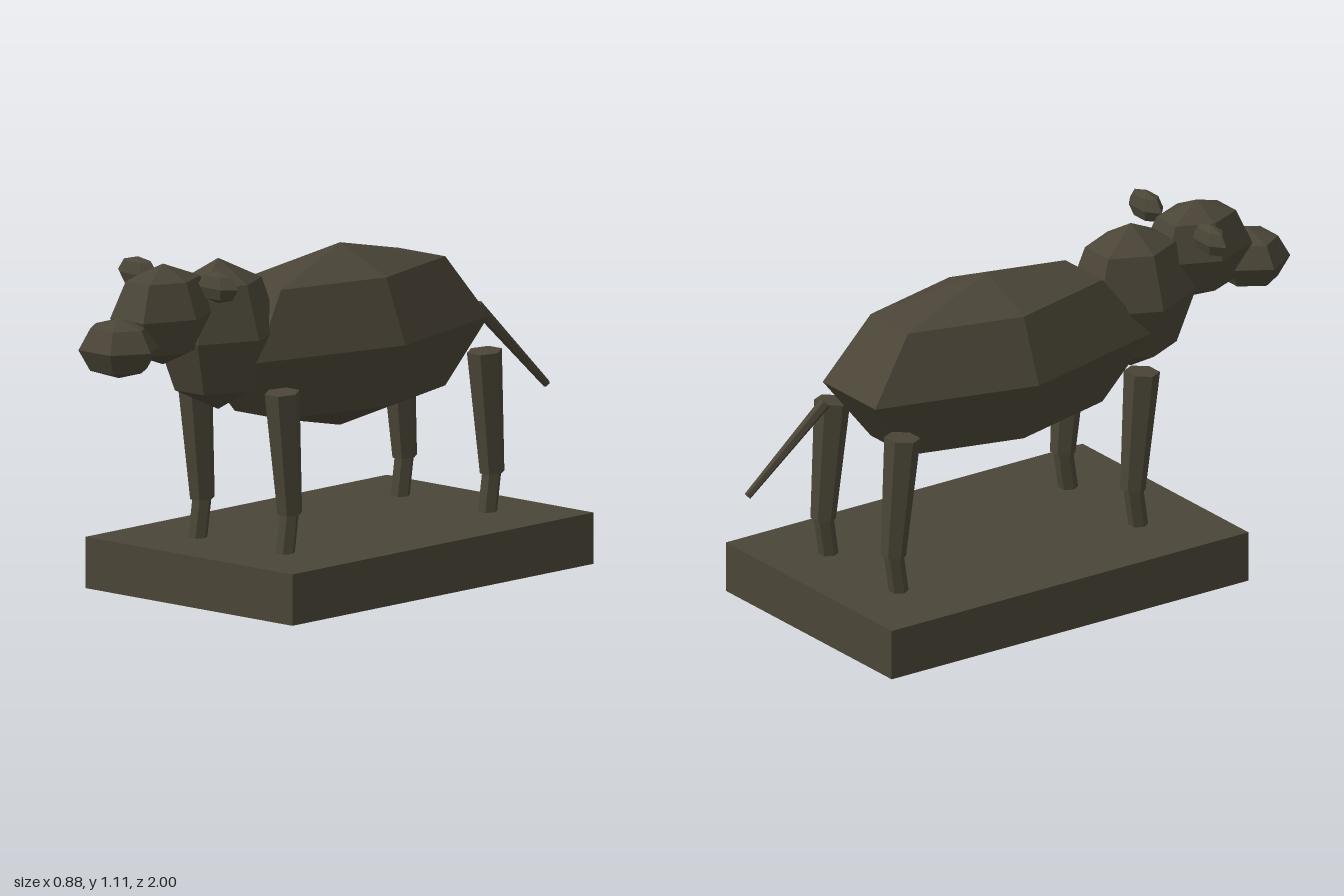
import * as THREE from 'three';

const bronze = new THREE.MeshStandardMaterial({ color: 0x4a4537 });
bronze.name = 'dark bronze';

// Bakes faceted normals so every facet stays flat
function faceted(geometry) {
  const flat = geometry.toNonIndexed();
  flat.computeVertexNormals();
  return flat;
}

function addMesh(parent, name, geometry) {
  const mesh = new THREE.Mesh(faceted(geometry), bronze);
  mesh.name = name;
  parent.add(mesh);
  return mesh;
}

// Coarse six-sided ellipsoid
function blob(parent, name, radii, position) {
  const geometry = new THREE.SphereGeometry(1, 6, 4).scale(...radii);
  return addMesh(parent, name, geometry).position.set(...position);
}

// Tapered six-sided rod between two points
function rod(parent, name, from, to, rFrom, rTo) {
  const a = new THREE.Vector3(...from);
  const b = new THREE.Vector3(...to);
  const axis = a.clone().sub(b);
  const geometry = new THREE.CylinderGeometry(rFrom, rTo, axis.length(), 6, 1, false, Math.PI / 6);
  const mesh = addMesh(parent, name, geometry);
  mesh.position.copy(a).add(b).multiplyScalar(0.5);
  mesh.quaternion.setFromUnitVectors(new THREE.Vector3(0, 1, 0), axis.normalize());
  return mesh;
}

export function createModel() {
  const model = new THREE.Group();
  model.name = 'cowStatue';

  // Plinth
  addMesh(model, 'plinth', new THREE.BoxGeometry(0.885, 0.163, 1.37)).position.set(0, 0.0815, -0.115);

  // Body, neck, head and muzzle
  blob(model, 'body', [0.28, 0.29, 0.61], [0, 0.77, -0.117]);
  blob(model, 'neck', [0.175, 0.24, 0.215], [0, 0.85, 0.437]);
  blob(model, 'head', [0.142, 0.16, 0.19], [0, 0.948, 0.688]);
  blob(model, 'muzzle', [0.137, 0.095, 0.128], [0, 0.868, 0.889]);

  for (const [side, s] of [['left', 1], ['right', -1]]) {
    // Ears
    blob(model, side + 'Ear', [0.085, 0.051, 0.041], [s * 0.172, 1.047, 0.619]);

    // Legs: tapered upper part, then a thin shank angled forward
    for (const [end, z] of [['Front', 0.345], ['Back', -0.575]]) {
      const leg = new THREE.Group();
      leg.name = side + end + 'Leg';
      const x = s * 0.187;
      rod(leg, 'upperLeg', [x, 0.675, z], [x, 0.285, z - 0.035], 0.057, 0.04);
      rod(leg, 'shank', [x, 0.287, z - 0.033], [x, 0.155, z - 0.013], 0.031, 0.031);
      model.add(leg);
    }
  }

  // Tail
  rod(model, 'tail', [0, 0.77, -0.737], [0.063, 0.493, -0.99], 0.02, 0.012);

  return model;
}
